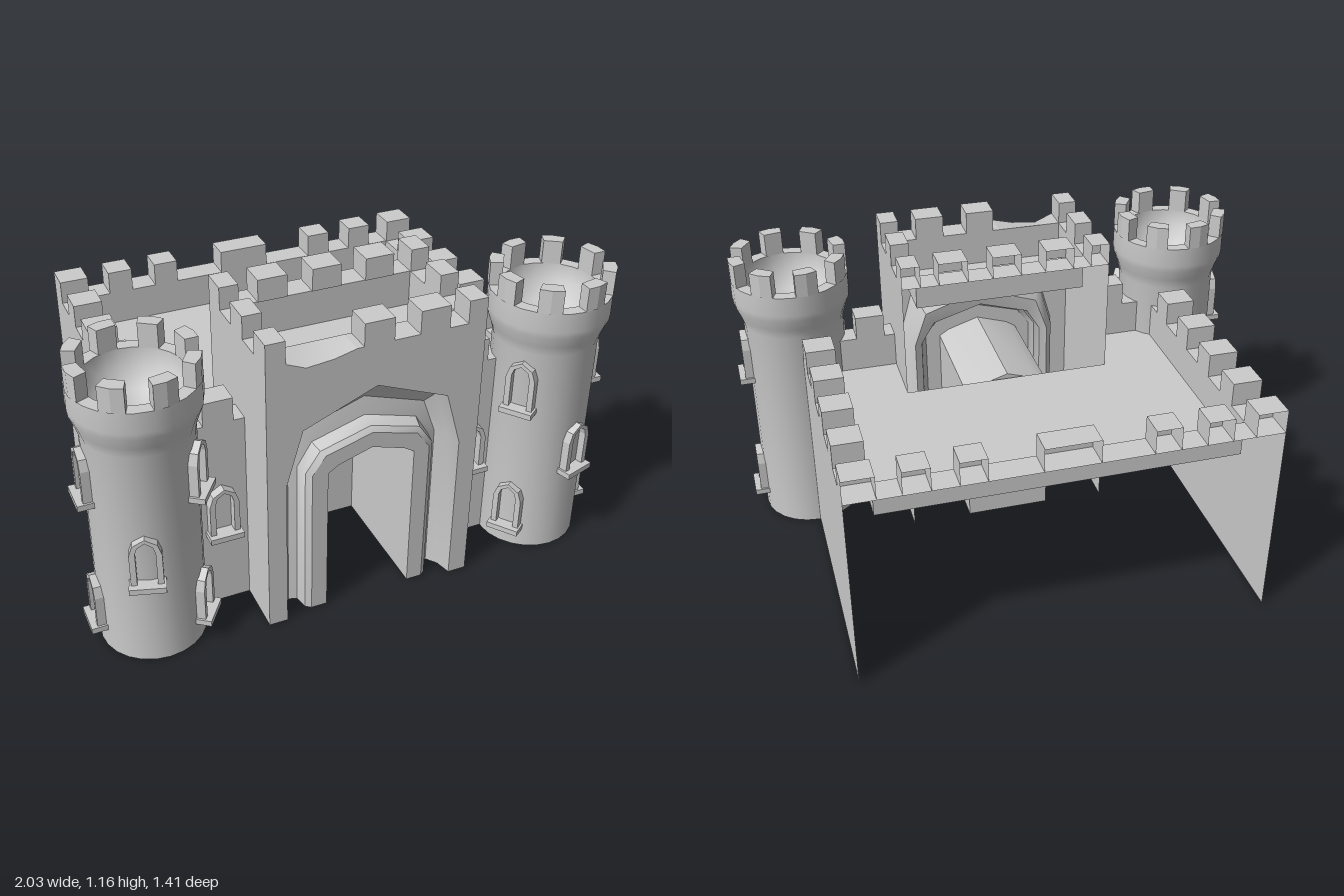
import * as THREE from 'three';
import { toCreasedNormals, mergeGeometries } from 'three/addons/utils/BufferGeometryUtils.js';

const stone = new THREE.MeshStandardMaterial({ color: 0xcccccc, side: THREE.DoubleSide });
const FACES = ['px', 'nx', 'py', 'ny', 'pz', 'nz'];

function add(parent, name, geometry) {
  const mesh = new THREE.Mesh(geometry, stone);
  mesh.name = name;
  parent.add(mesh);
  return mesh;
}

// Open box between two corners, keeping only the listed faces
function skin(xa, xb, ya, yb, za, zb, keep) {
  const g = new THREE.BoxGeometry(Math.abs(xb - xa), yb - ya, zb - za);
  const index = Array.from(g.index.array);
  g.setIndex(FACES.flatMap((f, i) => (keep.includes(f) ? index.slice(i * 6, i * 6 + 6) : [])));
  g.clearGroups();
  return g.translate((xa + xb) / 2, (ya + yb) / 2, (za + zb) / 2);
}
const SHELL = 'px nx py pz nz';
const OPEN_BACK = 'px nx py pz';

// Half contour (right side) mirrored into a full pointed arch, left foot to right foot
function arch(w, h, w2, h2, top) {
  return [[-w, 0], [-w, h], [-w2, h2], [0, top], [w2, h2], [w, h], [w, 0]];
}
const toShape = (pts) => new THREE.Shape(pts.map(([x, y]) => new THREE.Vector2(x, y)));

// Skin between arch contours set at different depths
function loftArches(rows) {
  const pos = [], idx = [], n = rows[0].pts.length;
  rows.forEach(({ pts, z }) => pts.forEach(([x, y]) => pos.push(x, y, z)));
  for (let r = 0; r < rows.length - 1; r++) {
    for (let i = 0; i < n - 1; i++) {
      const a = r * n + i, b = a + 1, c = a + n, d = c + 1;
      idx.push(a, b, c, b, d, c);
    }
  }
  const g = new THREE.BufferGeometry();
  g.setAttribute('position', new THREE.Float32BufferAttribute(pos, 3));
  g.setIndex(idx);
  g.computeVertexNormals();
  return toCreasedNormals(g, 0.6);
}

// Arched frame with a sill; base at y = 0, back at z = 0
function windowFrame() {
  const frame = toShape(arch(0.055, 0.14, 0.042, 0.18, 0.205));
  frame.holes.push(toShape(arch(0.034, 0.135, 0.026, 0.16, 0.178).map(([x, y]) => [x, y + 0.012])));
  const g = new THREE.ExtrudeGeometry(frame, { depth: 0.045, bevelEnabled: false });
  const sill = new THREE.BoxGeometry(0.125, 0.022, 0.065).translate(0, 0.006, 0.035).toNonIndexed();
  return mergeGeometries([g, sill]);
}

function tower(s) {
  const g = new THREE.Group();
  g.name = s > 0 ? 'leftTower' : 'rightTower';
  const profile = [[0.192, 0], [0.192, 0.86], [0.203, 0.9], [0.22, 0.945], [0.223, 0.97], [0.222, 1.045],
    [0.176, 1.045], [0.172, 0.98], [0.12, 0.92], [0, 0.89]].map(([r, y]) => new THREE.Vector2(r, y));
  add(g, 'towerBody', toCreasedNormals(new THREE.LatheGeometry(profile, 24), 0.7));

  // Battlements: eight wedges standing on the rim
  for (let i = 0; i < 8; i++) {
    const a = (i * Math.PI) / 4 + 0.2, h = Math.PI / 16;
    const at = (r, t) => [r * Math.cos(t), r * Math.sin(t)];
    const wedge = toShape([at(0.176, a - h), at(0.222, a - h), at(0.225, a), at(0.222, a + h), at(0.176, a + h)]);
    const geo = new THREE.ExtrudeGeometry(wedge, { depth: 0.09, bevelEnabled: false });
    add(g, 'towerMerlon', geo.rotateX(-Math.PI / 2).translate(0, 1.045, 0));
  }

  // Windows step around the tower: outward, front, inward
  [[90, 0.62], [90, 0.085], [17, 0.345], [-54, 0.62], [-54, 0.085]].forEach(([deg, y]) => {
    const a = (s * deg * Math.PI) / 180;
    const w = add(g, 'towerWindow', windowFrame());
    w.position.set(Math.sin(a) * 0.17, y, Math.cos(a) * 0.17);
    w.rotation.y = a;
  });
  g.position.set(s * 0.775, 0, 0.465);
  return g;
}

function courtyard() {
  const g = new THREE.Group();
  g.name = 'courtyard';
  const X = 0.77, XI = 0.66, Z = -0.695, ZI = -0.595, TOP = 0.775, FLOOR = 0.64, TIP = 0.865;
  add(g, 'floor', skin(-XI, XI, FLOOR - 0.01, FLOOR, ZI, 0.13, 'py'));
  add(g, 'rearParapetInside', skin(-XI, XI, FLOOR, TOP, Z, ZI, 'pz'));
  add(g, 'rearWallTop', skin(-X, X, FLOOR, TOP, Z, ZI, 'py'));
  [[-0.1, 0.1], [0.29, 0.385], [0.48, 0.575], [-0.385, -0.29], [-0.575, -0.48]].forEach(([a, b]) =>
    add(g, 'rearMerlon', skin(a, b, TOP, TIP, Z, ZI, OPEN_BACK)));

  for (const s of [1, -1]) {
    const out = s > 0 ? 'px' : 'nx', inn = s > 0 ? 'nx' : 'px';
    add(g, 'sideFloor', skin(s * 0.4, s * XI, FLOOR - 0.01, FLOOR, 0.13, 0.36, 'py'));
    add(g, 'sideWall', skin(s * XI, s * X, 0, TOP, Z, 0.36, out));
    add(g, 'sideWallTop', skin(s * XI, s * X, FLOOR, TOP, ZI, 0.36, 'py'));
    add(g, 'sideParapetInside', skin(s * XI, s * X, FLOOR, TOP, ZI, 0.36, inn));
    for (let i = 0; i < 5; i++) {
      const z = Z + i * 0.21;
      add(g, 'sideMerlon', skin(s * XI, s * X, TOP, TIP, z, z + 0.105, i ? SHELL : OPEN_BACK));
    }
    // Short curtain wall between gatehouse and tower
    add(g, 'curtainWall', skin(s * 0.4, s * 0.6, 0, TOP, 0.36, 0.45, 'pz'));
    add(g, 'curtainParapet', skin(s * 0.4, s * 0.64, FLOOR, TOP, 0.36, 0.45, 'py nz'));
    add(g, 'curtainMerlon', skin(s * 0.44, s * 0.55, TOP, TIP, 0.36, 0.45, SHELL));
    add(g, 'curtainWindow', windowFrame()).position.set(s * 0.495, 0.315, 0.44);
  }
  return g;
}

function gatehouse() {
  const g = new THREE.Group();
  g.name = 'gatehouse';
  const X = 0.4, XI = 0.33, ZF = 0.65, ZB = 0.13, TOP = 1.08, ROOF = 0.945, TIP = 1.165;
  const outer = arch(0.33, 0.6, 0.27, 0.81, 0.92);
  const door = arch(0.165, 0.59, 0.125, 0.615, 0.655);

  // Front wall with arch opening and a worn dip in its top edge
  const wear = [[-0.08, TOP], [-0.16, 1.06], [-0.26, 1.05], [-0.33, TOP]];
  const front = toShape([[-X, 0], ...outer, [X, 0], [X, TOP], ...wear, [-X, TOP]]);
  add(g, 'frontWall', new THREE.ShapeGeometry(front).translate(0, 0, ZF));
  add(g, 'frontWallTop', skin(-0.08, X, ROOF, TOP, 0.55, ZF, 'py'));
  const worn = [[-X, TOP], ...wear.slice().reverse()];
  const slope = new THREE.PlaneGeometry(1, 1, worn.length - 1, 1);
  for (let i = 0; i < worn.length; i++) {
    slope.attributes.position.setXYZ(i, worn[i][0], TOP, 0.55);
    slope.attributes.position.setXYZ(i + worn.length, worn[i][0], worn[i][1], ZF);
  }
  slope.computeVertexNormals();
  add(g, 'wornWallTop', slope);

  // Coved surround, raised door frame and deep passage
  const frame = arch(0.255, 0.6, 0.2, 0.69, 0.75);
  add(g, 'gateArch', loftArches([
    { pts: outer, z: ZF },
    { pts: arch(0.315, 0.6, 0.262, 0.79, 0.89), z: 0.59 },
    { pts: arch(0.285, 0.6, 0.235, 0.74, 0.82), z: 0.55 },
    { pts: frame, z: 0.56 },
    { pts: arch(0.245, 0.6, 0.19, 0.68, 0.735), z: 0.61 },
    { pts: arch(0.225, 0.595, 0.175, 0.665, 0.715), z: 0.625 },
    { pts: door, z: 0.625 },
    { pts: door, z: 0.14 },
  ]));
  add(g, 'gateDoor', new THREE.ShapeGeometry(toShape(door)).translate(0, 0, 0.14));

  // Roof, parapet and side walls; the rear stays open
  add(g, 'roof', skin(-XI, XI, ROOF - 0.01, ROOF, 0.23, 0.55, 'py'));
  add(g, 'frontParapetInside', skin(-XI, XI, ROOF, TOP, 0.55, ZF, 'nz'));
  add(g, 'rearParapet', skin(-XI, XI, ROOF, TOP, ZB, 0.23, 'py pz'));
  for (const s of [1, -1]) {
    const out = s > 0 ? 'px' : 'nx', inn = s > 0 ? 'nx' : 'px';
    add(g, 'sideWall', skin(s * XI, s * X, 0, TOP, ZB, ZF, out));
    add(g, 'sideWallTop', skin(s * XI, s * X, ROOF, TOP, ZB, 0.55, 'py'));
    add(g, 'sideParapetInside', skin(s * XI, s * X, ROOF, TOP, 0.23, 0.55, inn));
    add(g, 'sideMerlon', skin(s * XI, s * X, TOP, TIP, 0.34, 0.45, SHELL));
  }
  [[-X, -XI], [-0.26, -0.15], [-0.055, 0.055], [0.15, 0.26], [XI, X]].forEach(([a, b], i) => {
    add(g, 'rearMerlon', skin(a, b, TOP, TIP, ZB, 0.235, OPEN_BACK));
    if (i !== 1) add(g, 'frontMerlon', skin(a, b, TOP, TIP, 0.55, ZF, SHELL));
  });
  return g;
}

export function createModel() {
  const castle = new THREE.Group();
  castle.name = 'castle';
  castle.add(courtyard(), gatehouse(), tower(1), tower(-1));
  return castle;
}
